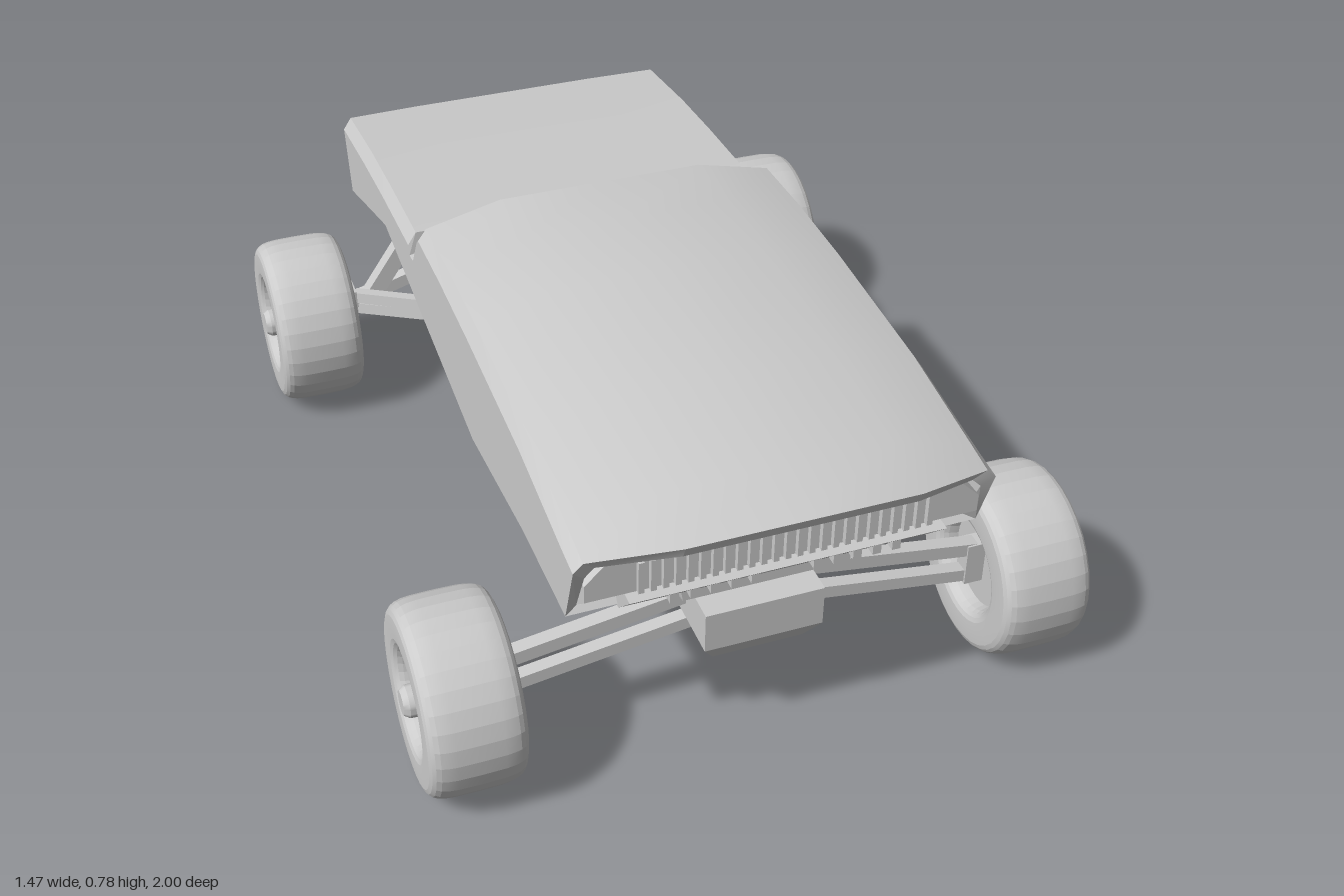
import * as THREE from 'three';
import { toCreasedNormals } from 'three/addons/utils/BufferGeometryUtils.js';

const grey = new THREE.MeshStandardMaterial({ color: 0xcccccc });

function add(parent, name, geometry) {
  const mesh = new THREE.Mesh(geometry, grey);
  mesh.name = name;
  parent.add(mesh);
  return mesh;
}

// Skins half cross-sections (top centre to bottom centre), mirrored in x, front to back
function loft(halves, crease = 0.1) {
  const rings = halves.map(h => [...h, ...h.slice(1, -1).reverse().map(([x, y, z]) => [-x, y, z])]);
  const n = rings[0].length, pos = [];
  const tri = (...p) => p.forEach(v => pos.push(...v));
  const centre = r => [0, 1, 2].map(c => r.reduce((s, p) => s + p[c], 0) / n);
  const first = rings[0], last = rings[rings.length - 1], cf = centre(first), cl = centre(last);
  for (let j = 0; j < n; j++) {
    const k = (j + 1) % n;
    for (let i = 0; i < rings.length - 1; i++) {
      const a = rings[i], b = rings[i + 1];
      tri(a[j], a[k], b[k]);
      tri(a[j], b[k], b[j]);
    }
    tri(cf, first[k], first[j]);
    tri(cl, last[j], last[k]);
  }
  const g = new THREE.BufferGeometry();
  g.setAttribute('position', new THREE.Float32BufferAttribute(pos, 3));
  return toCreasedNormals(g, crease);
}

// Box from its size and centre
function block(parent, name, w, h, d, x, y, z) {
  const m = add(parent, name, new THREE.BoxGeometry(w, h, d));
  m.position.set(x, y, z);
  return m;
}

// Straight square bar between two points
function bar(parent, name, a, b, thick) {
  const A = new THREE.Vector3(...a), B = new THREE.Vector3(...b);
  const m = add(parent, name, new THREE.BoxGeometry(thick, thick, A.distanceTo(B)));
  m.position.copy(A).lerp(B, 0.5);
  m.lookAt(B);
}

// Box tapering from its bottom to its top: y, half width and half depth of each end
function taper(parent, name, z, [y0, w0, d0], [y1, w1, d1]) {
  const ring = s => [[0, y1, z + s * d1], [w1, y1, z + s * d1], [w0, y0, z + s * d0], [0, y0, z + s * d0]];
  add(parent, name, loft([ring(1), ring(-1)]));
}

// Body section; lean and foot shift the shoulder and sill in z, inset shrinks it
function section(z, roof, shoulder, side, sill, { edge = 0.24, lean = 0, foot = 0, inset = 0 } = {}) {
  const wide = 0.435 - inset, low = sill + inset / 2;
  return [[0, roof - inset, z], [edge, roof - inset, z], [wide - 0.02, shoulder - inset, z + lean],
    [wide, side - inset, z + lean], [wide, low, z + foot], [0, low, z + foot]];
}

function bodyShell() {
  const nose = (z, inset) => section(z, 0.70, 0.66, 0.64, 0.49, { lean: -0.067, foot: -0.12, inset });
  const tail = (z, inset) => section(z, 0.60, 0.60, 0.57, 0.41, { lean: 0.005, foot: 0.05, inset });
  return loft([
    nose(0.95, 0.03), nose(0.99, 0.025), nose(1, 0),
    // bonnet and cab
    section(0.86, 0.72, 0.672, 0.647, 0.489),
    section(0.60, 0.757, 0.71, 0.68, 0.48),
    section(0.22, 0.78, 0.732, 0.699, 0.435),
    section(0, 0.784, 0.735, 0.704, 0.464),
    section(-0.19, 0.77, 0.728, 0.70, 0.488),
    // rear screen and the gap behind it
    section(-0.243, 0.65, 0.70, 0.69, 0.49, { edge: 0.03, lean: 0.04, foot: 0.04 }),
    section(-0.26, 0.61, 0.61, 0.605, 0.497),
    section(-0.294, 0.605, 0.605, 0.60, 0.502),
    // rear deck
    section(-0.30, 0.655, 0.655, 0.625, 0.503),
    section(-0.55, 0.644, 0.644, 0.613, 0.535),
    section(-0.75, 0.63, 0.63, 0.597, 0.473),
    tail(-1, 0), tail(-0.995, 0.022), tail(-0.965, 0.025),
  ], 0.3);
}

// Faceted belly between side edge, knee and keel edge points
function hull() {
  const ring = (side, knee, keel) =>
    [[0, 0.5, side[2]], [side[0], 0.5, side[2]], side, knee, keel, [0, keel[1], keel[2]]];
  return loft([
    ring([0.24, 0.475, 0.45], [0.16, 0.28, 0.29], [0.15, 0.255, 0.27]),
    ring([0.434, 0.437, 0.22], [0.275, 0.285, 0.13], [0.27, 0.272, 0.13]),
    ring([0.434, 0.466, 0], [0.285, 0.335, 0], [0.265, 0.29, 0]),
    ring([0.43, 0.51, -0.33], [0.3, 0.415, -0.28], [0.25, 0.325, -0.27]),
    ring([0.25, 0.49, -0.59], [0.22, 0.42, -0.52], [0.16, 0.345, -0.44]),
  ]);
}

// Rounded tyre by a squared-off ellipse, with a stepped rim and hub inside
function wheel(parent, side, z) {
  const group = new THREE.Group();
  group.name = 'wheel';
  group.position.set(side * 0.623, 0.208, z);
  group.rotation.z = -side * Math.PI / 2;
  parent.add(group);
  const soft = v => Math.sign(v) * Math.abs(v) ** 0.5;
  const tyre = [], steps = 28;
  for (let i = 0; i <= steps; i++) {
    const t = -Math.PI + i * 2 * Math.PI / steps;
    tyre.push(new THREE.Vector2(0.154 + 0.053 * soft(Math.cos(t)), 0.103 * soft(Math.sin(t))));
  }
  add(group, 'tyre', toCreasedNormals(new THREE.LatheGeometry(tyre, 32), 0.15));
  const rim = [[0, -0.06], [0.11, -0.06], [0.11, 0.065], [0.098, 0.07], [0.09, 0.04], [0.083, 0.065], [0.066, 0.07],
    [0.062, 0.045], [0.036, 0.05], [0.034, 0.10], [0.026, 0.112], [0, 0.112]].map(p => new THREE.Vector2(...p));
  add(group, 'rim', toCreasedNormals(new THREE.LatheGeometry(rim, 32), 0.5));
}

// Wheels, links and uprights of one side
function suspension(s) {
  const group = new THREE.Group();
  group.name = s > 0 ? 'leftSuspension' : 'rightSuspension';
  wheel(group, s, 0.72);
  wheel(group, s, -0.71);
  const link = (name, [x, ...a], [u, ...b], thick) => bar(group, name, [s * x, ...a], [s * u, ...b], thick);
  link('frontUpperArm', [0.11, 0.322, 0.715], [0.56, 0.252, 0.715], 0.032);
  link('frontLowerArm', [0.1, 0.25, 0.715], [0.56, 0.18, 0.715], 0.03);
  link('rearUpperLink', [0.25, 0.42, -0.27], [0.5, 0.25, -0.7], 0.028);
  link('rearLowerLink', [0.22, 0.385, -0.27], [0.49, 0.215, -0.7], 0.028);
  link('rearLateralArm', [0.12, 0.36, -0.69], [0.56, 0.22, -0.7], 0.032);
  link('rearDamper', [0.28, 0.52, -0.68], [0.47, 0.235, -0.69], 0.04);
  block(group, 'frontUpright', 0.06, 0.105, 0.04, s * 0.55, 0.218, 0.715);
  block(group, 'rearUpright', 0.08, 0.1, 0.06, s * 0.54, 0.228, -0.7);
  return group;
}

// Chamfered grille plate with slats, undercut lamp strip and corner guards
function noseDetails() {
  const nose = new THREE.Group();
  nose.name = 'nose';
  const half = [[0.41, 0.55], [0.41, 0.59], [0.37, 0.63]];
  const outline = [...half, ...half.map(([x, y]) => [-x, y]).reverse()].map(p => new THREE.Vector2(...p));
  const plate = new THREE.ExtrudeGeometry(new THREE.Shape(outline), { depth: 0.06, bevelEnabled: false });
  add(nose, 'grillePlate', plate).position.z = 0.86;
  for (let i = -12; i <= 12; i++) block(nose, 'grilleSlat', 0.012, 0.075, 0.025, i * 0.025, 0.59, 0.92);
  taper(nose, 'lampStrip', 0.85, [0.485, 0.33, 0.035], [0.55, 0.33, 0.1]);
  for (const s of [-1, 1]) {
    for (let i = 0; i < 5; i++) block(nose, 'lamp', 0.018, 0.024, 0.03, s * (0.065 + i * 0.042), 0.52, 0.915);
    const wedge = new THREE.Shape([[-0.85, 0.485], [-0.85, 0.55], [-0.92, 0.55]].map(p => new THREE.Vector2(...p)));
    const guard = new THREE.ExtrudeGeometry(wedge, { depth: 0.075, bevelEnabled: false });
    add(nose, 'cornerGuard', guard.translate(0, 0, -0.0375).rotateY(Math.PI / 2)).position.x = s * 0.372;
  }
  return nose;
}

export function createModel() {
  const model = new THREE.Group();
  model.name = 'offRoadTruck';
  add(model, 'bodyShell', bodyShell());
  add(model, 'lowerHull', hull());
  model.add(noseDetails(), suspension(1), suspension(-1));

  // Chassis blocks along the centreline
  taper(model, 'frontChassis', 0.66, [0.418, 0.18, 0.18], [0.485, 0.19, 0.18]);
  taper(model, 'frontChassisBase', 0.66, [0.355, 0.165, 0.03], [0.418, 0.18, 0.18]);
  taper(model, 'frontAxleHousing', 0.75, [0.265, 0.13, 0.09], [0.36, 0.13, 0.09]);
  taper(model, 'frontAxleSkid', 0.75, [0.215, 0.1, 0.06], [0.265, 0.13, 0.09]);
  bar(model, 'frontSpine', [0, 0.3, 0.68], [0, 0.29, 0.25], 0.06);
  taper(model, 'rearAxleHousing', -0.69, [0.33, 0.12, 0.09], [0.52, 0.15, 0.11]);
  taper(model, 'rearUndertray', -0.875, [0.33, 0.22, 0.03], [0.44, 0.3, 0.025]);

  // Sloping tailgate below a dark groove
  block(model, 'tailgate', 0.79, 0.11, 0.04, 0, 0.478, -0.948).rotation.x = -0.26;
  return model;
}
